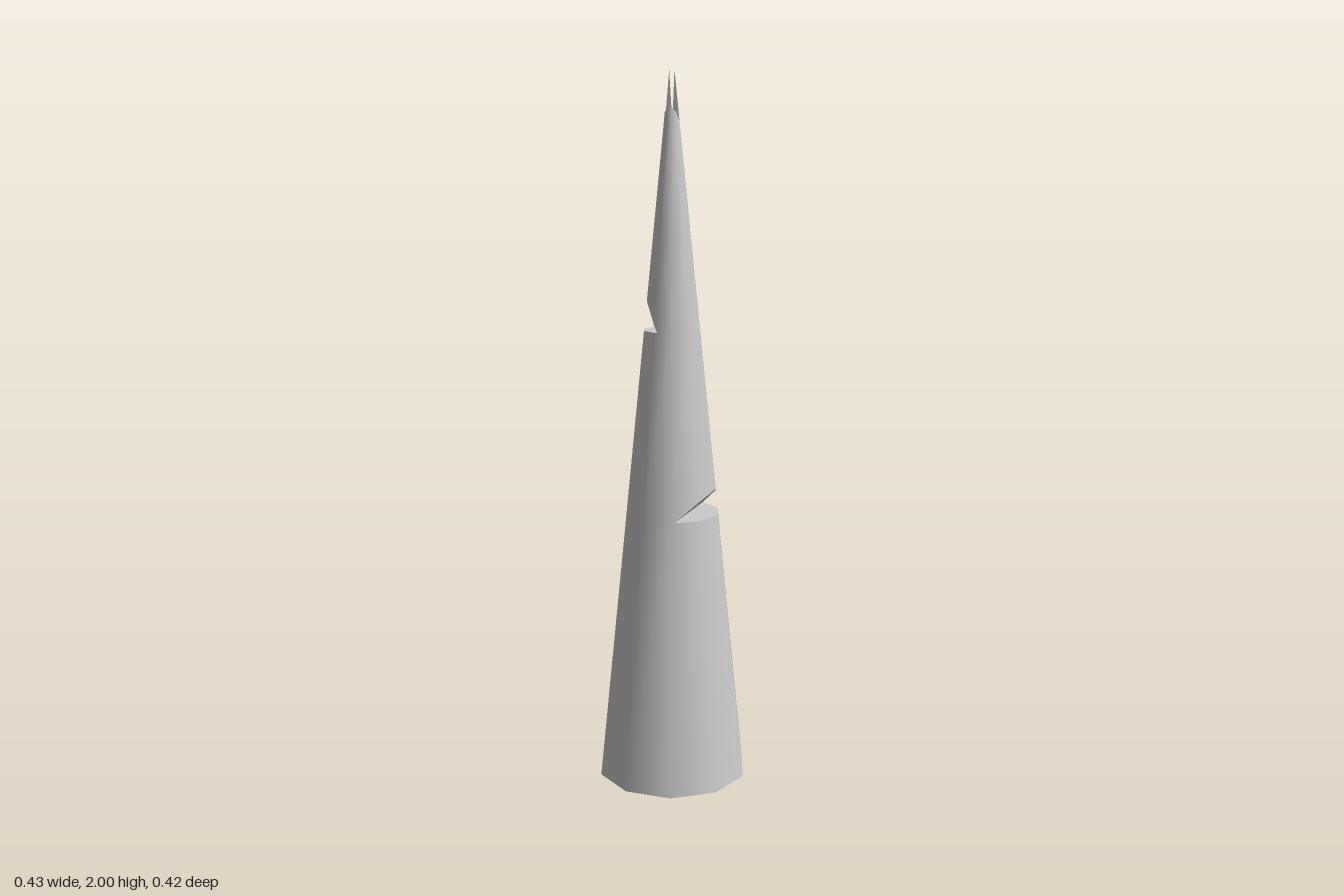
import * as THREE from 'three';

const SIDES = 10, BASE_R = 0.217, TAPER = 0.1045, TOP = 2;
const deg = Math.PI / 180;

// Point on the ten-sided cone at height y, corner k
const ring = (y, k) => {
  const a = (-4 + 36 * k) * deg, r = BASE_R - TAPER * y;
  return new THREE.Vector3(r * Math.cos(a), y, r * Math.sin(a));
};

// Half-space: keeps points with n.p >= c
const dist = (pl, p) => pl.n.dot(p) - pl.c;
const flip = (pl) => ({ n: pl.n.clone().negate(), c: -pl.c });

function clip(poly, pl) {
  const out = [];
  poly.forEach((a, i) => {
    const b = poly[(i + 1) % poly.length], da = dist(pl, a), db = dist(pl, b);
    if (da >= 0) out.push(a);
    if ((da > 0 && db < 0) || (da < 0 && db > 0)) out.push(a.clone().lerp(b, da / (da - db)));
  });
  return out;
}

// Sloped plane rising outward along the given angle from a chord at distance d
function slope(angle, d, y, s) {
  const u = new THREE.Vector3(Math.cos(angle * deg), 0, Math.sin(angle * deg));
  return {
    n: new THREE.Vector3(-s * u.x, 1, -s * u.z), c: y - s * d,
    u, d, pivot: u.clone().multiplyScalar(d).setY(y),
  };
}

// Collects triangles; smooth ones take the cone's own normal
class Builder {
  pos = []; nor = [];
  add(poly, smooth) {
    for (let i = 1; i + 1 < poly.length; i++) {
      const t = [poly[0], poly[i], poly[i + 1]];
      const flat = t[1].clone().sub(t[0]).cross(t[2].clone().sub(t[0]));
      if (flat.length() < 1e-10) continue;
      flat.normalize();
      for (const p of t) {
        const n = smooth ? new THREE.Vector3(p.x, 0, p.z).normalize().setY(TAPER).normalize() : flat;
        this.pos.push(p.x, p.y, p.z + 0.0015 * p.y * p.y); // slight lean to the front
        this.nor.push(n.x, n.y, n.z);
      }
    }
  }
  // Cone walls from y0 to y1, cut by planes; the last plane gets a cut face
  walls(y0, y1, planes = [], pivot) {
    for (let k = 0; k < SIDES; k++) {
      let poly = [ring(y0, k + 1), ring(y0, k), ring(y1, k), ring(y1, k + 1)];
      for (const pl of planes) poly = clip(poly, pl);
      this.add(poly, true);
      if (!pivot) continue;
      const last = planes[planes.length - 1];
      poly.forEach((a, i) => {
        const b = poly[(i + 1) % poly.length];
        if (Math.abs(dist(last, a)) < 1e-6 && Math.abs(dist(last, b)) < 1e-6) this.add([pivot, b, a]);
      });
    }
  }
  // Level surface at height y, facing up or down
  level(y, pl, up = true) {
    for (let k = 0; k < SIDES; k++) {
      const poly = [new THREE.Vector3(0, y, 0), ring(y, up ? k + 1 : k), ring(y, up ? k : k + 1)];
      this.add(pl ? clip(poly, pl) : poly);
    }
  }
  mesh(name) {
    const g = new THREE.BufferGeometry();
    g.setAttribute('position', new THREE.Float32BufferAttribute(this.pos, 3));
    g.setAttribute('normal', new THREE.Float32BufferAttribute(this.nor, 3));
    const m = new THREE.Mesh(g, new THREE.MeshStandardMaterial({ color: 0xcccccc }));
    m.name = name;
    return m;
  }
}

export function createModel() {
  const group = new THREE.Group();
  group.name = 'notchedSpire';

  // Notches from bottom to top: left, right, back
  const notches = [
    { y: 0.78, cut: slope(-4, 0.05, 0.78, 0.95), name: 'middleSection' },
    { y: 1.3, cut: slope(173, 0.02, 1.3, 2), name: 'upperSection' },
    { y: 1.56, cut: slope(-76, 0.018, 1.56, 2.2), name: 'topSection' },
  ];
  const breakY = 1.86;

  // Base with its floor
  const base = new Builder();
  base.level(0, null, false);
  base.walls(0, notches[0].y);
  group.add(base.mesh('baseSection'));

  // Each section stands on a ledge and is undercut by a sloped face
  notches.forEach(({ y, cut, name }, i) => {
    const b = new Builder();
    b.level(y, flip(cut));
    b.walls(y, notches[i + 1]?.y ?? breakY, [cut], cut.pivot);
    group.add(b.mesh(name));
  });

  // Broken tip: tall splinter at the back
  const wall = slope(86, -0.004, breakY, 60);
  const splinter = new Builder();
  splinter.walls(breakY, TOP, [wall], wall.pivot);
  splinter.level(TOP, wall);
  group.add(splinter.mesh('tipSplinter'));

  // Short jagged lip at the front
  const lipTop = flip(slope(86, -0.004, breakY, 1.9));
  const lip = new Builder();
  lip.walls(breakY, 1.92, [{ n: wall.u, c: wall.d }, lipTop], wall.pivot);
  group.add(lip.mesh('frontLip'));

  return group;
}
